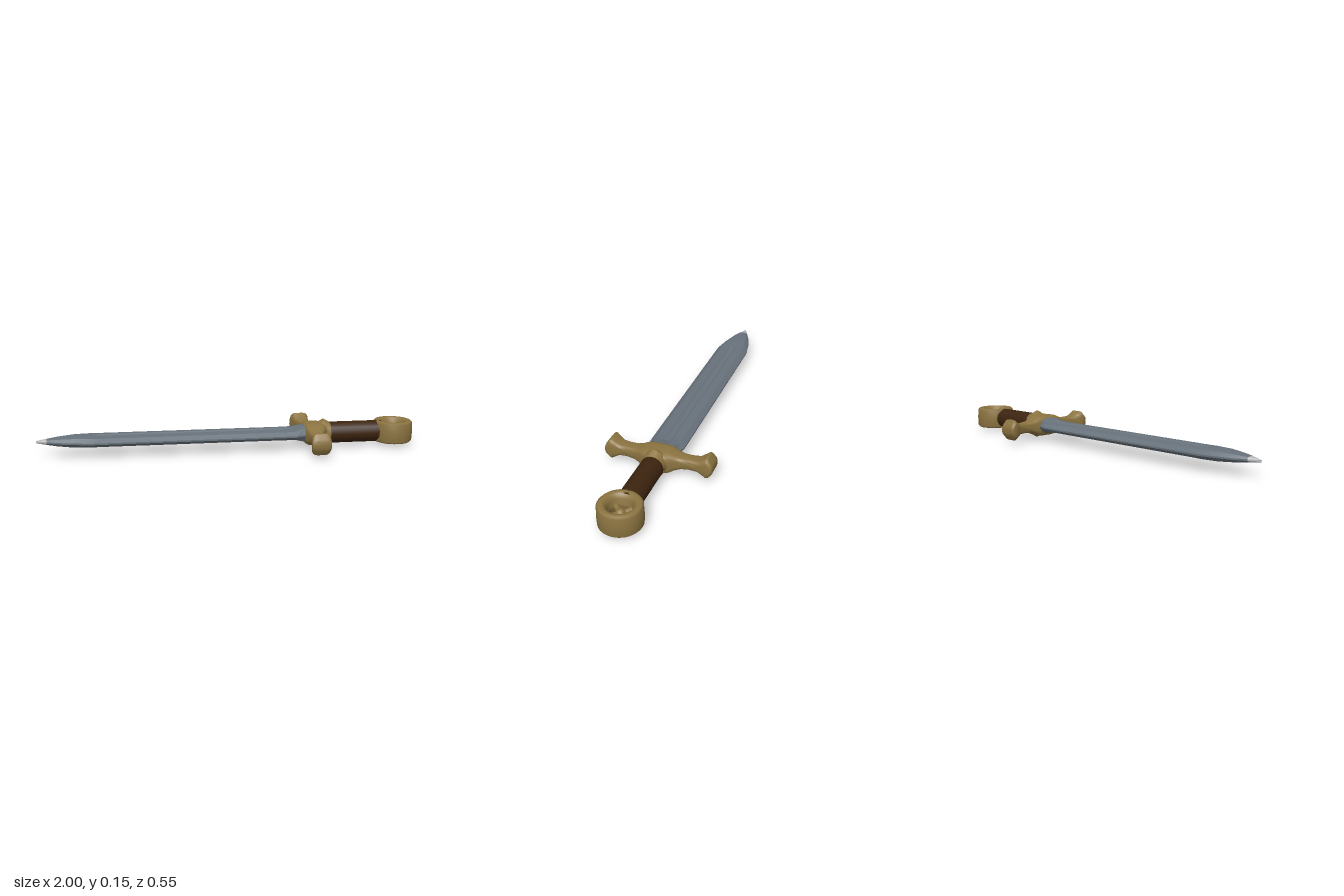
import * as THREE from 'three';
import { toCreasedNormals } from 'three/addons/utils/BufferGeometryUtils.js';

const MID = 0.08; // height of the sword's centre plane

// Skin a list of equal-length rings of [x, y, z] points and cap both ends.
function loft(rings, crease = 0.6) {
  const n = rings[0].length;
  const pos = rings.flat(2);
  const index = [];
  for (let i = 0; i < rings.length - 1; i++) {
    for (let j = 0; j < n; j++) {
      const a = i * n + j, b = i * n + (j + 1) % n;
      index.push(a, b, b + n, a, b + n, a + n);
    }
  }
  [0, rings.length - 1].forEach((r, end) => {
    const c = pos.length / 3;
    for (let k = 0; k < 3; k++) pos.push(rings[r].reduce((s, p) => s + p[k], 0) / n);
    for (let j = 0; j < n; j++) {
      const a = r * n + j, b = r * n + (j + 1) % n;
      if (end) index.push(a, b, c); else index.push(b, a, c);
    }
  });
  // Turn the faces outward if the signed volume is negative.
  const v = (i) => new THREE.Vector3().fromArray(pos, i * 3);
  let volume = 0;
  for (let i = 0; i < index.length; i += 3) {
    volume += v(index[i]).dot(v(index[i + 1]).cross(v(index[i + 2])));
  }
  if (volume < 0) index.reverse();
  const g = new THREE.BufferGeometry();
  g.setAttribute('position', new THREE.Float32BufferAttribute(pos, 3));
  g.setIndex(index);
  return toCreasedNormals(g, crease);
}

// Superellipse outline as [u, v] pairs; a power above 2 makes it boxier.
function oval(a, b, power, n = 20) {
  return Array.from({ length: n }, (_, i) => {
    const t = ((i + 0.5) / n) * Math.PI * 2;
    const bend = (c) => Math.sign(c) * Math.abs(c) ** (2 / power);
    return [a * bend(Math.cos(t)), b * bend(Math.sin(t))];
  });
}

// Blade cross-section: sharp edges, flat faces and a sunken central groove.
function bladeRing([x, w, h, groove]) {
  const f = Math.min(0.022, w * 0.3);
  const top = [[w, 0.004], [w * 0.72, h * 0.85], [f, h], [f * 0.6, h - groove],
    [-f * 0.6, h - groove], [-f, h], [-w * 0.72, h * 0.85], [-w, 0.004]];
  const bottom = top.map(([z, y]) => [z, -y]).reverse();
  return [...top, ...bottom].map(([z, y]) => [x, MID + 0.002 + y, z]);
}

export function createModel() {
  const steel = new THREE.MeshStandardMaterial({ color: 0x68727b });
  steel.name = 'steel';
  const brightSteel = new THREE.MeshStandardMaterial({ color: 0xb4b6b8 });
  brightSteel.name = 'brightSteel';
  const brass = new THREE.MeshStandardMaterial({ color: 0x8c7441 });
  brass.name = 'brass';
  const leather = new THREE.MeshStandardMaterial({ color: 0x3c240f });
  leather.name = 'leather';

  const sword = new THREE.Group();
  sword.name = 'sword';
  const add = (name, geometry, material, parent = sword) => {
    const mesh = new THREE.Mesh(geometry, material);
    mesh.name = name;
    parent.add(mesh);
    return mesh;
  };

  // Blade stations: x, half width, half thickness, groove depth
  const tipBase = [-0.945, 0.026, 0.014, 0];
  add('blade', loft([
    tipBase,
    [-0.89, 0.05, 0.02, 0],
    [-0.81, 0.073, 0.026, 0],
    [-0.72, 0.089, 0.026, 0],
    [-0.68, 0.09, 0.025, 0.006],
    [0.28, 0.09, 0.025, 0.006],
    [0.345, 0.09, 0.027, 0.004],
    [0.385, 0.073, 0.04, 0],
    [0.43, 0.065, 0.045, 0],
  ].map(bladeRing), 0.3), steel);
  add('bladeTip', loft([[-1, 0.002, 0.005, 0], [-0.975, 0.013, 0.01, 0], tipBase].map(bladeRing), 0.3), brightSteel);

  // Crossguard stations from the middle outward: z, centre x, half length, half height
  const half = [
    [0.03, 0.458, 0.066, 0.057],
    [0.065, 0.452, 0.057, 0.052],
    [0.09, 0.447, 0.045, 0.04],
    [0.12, 0.444, 0.036, 0.031],
    [0.16, 0.441, 0.034, 0.028],
    [0.2, 0.439, 0.037, 0.03],
    [0.222, 0.436, 0.043, 0.043],
    [0.243, 0.433, 0.049, 0.057],
    [0.252, 0.432, 0.05, 0.055],
    [0.27, 0.432, 0.05, 0.03],
    [0.275, 0.432, 0.046, 0.018],
  ];
  const stations = [...half.map(([z, ...r]) => [-z, ...r]).reverse(), ...half];
  add('crossguard', loft(stations.map(([z, cx, a, b]) =>
    oval(a, b, 4).map(([u, v]) => [cx + u, MID + v, z])), 0.7), brass);

  // Ridged collar between guard and grip: x, half height, half width, power
  add('collar', loft([
    [0.47, 0.055, 0.062, 2.6],
    [0.487, 0.061, 0.066, 2.2],
    [0.505, 0.077, 0.064, 1.6],
    [0.52, 0.068, 0.06, 1.8],
    [0.537, 0.059, 0.058, 2.2],
  ].map(([x, a, b, p]) => oval(a, b, p).map(([u, v]) => [x, MID + u, v])), 0.5), brass);

  // Grip
  const grip = add('grip', new THREE.CylinderGeometry(0.057, 0.057, 0.3, 20), leather);
  grip.rotation.z = Math.PI / 2;
  grip.position.set(0.675, MID, 0);

  // Ring pommel with a four-spoked hub inside
  const pommel = new THREE.Group();
  pommel.name = 'pommel';
  pommel.position.set(0.895, MID, 0);
  sword.add(pommel);
  const profile = [[0.052, 0], [0.057, -0.035], [0.068, -0.052], [0.08, -0.058], [0.096, -0.056],
    [0.104, -0.047], [0.106, 0], [0.104, 0.047], [0.096, 0.056], [0.08, 0.058],
    [0.068, 0.052], [0.057, 0.035], [0.052, 0]];
  add('pommelRing', new THREE.LatheGeometry(profile.map(([r, y]) => new THREE.Vector2(r, y)), 32), brass, pommel);
  add('pommelHub', new THREE.SphereGeometry(0.024, 16, 10), brass, pommel);
  for (let i = 0; i < 4; i++) {
    const angle = Math.PI / 4 + i * Math.PI / 2;
    const spoke = add('pommelSpoke', new THREE.CylinderGeometry(0.016, 0.011, 0.045, 10), brass, pommel);
    spoke.rotation.set(0, -angle, -Math.PI / 2);
    spoke.position.set(Math.cos(angle) * 0.036, 0, Math.sin(angle) * 0.036);
  }
  return sword;
}
